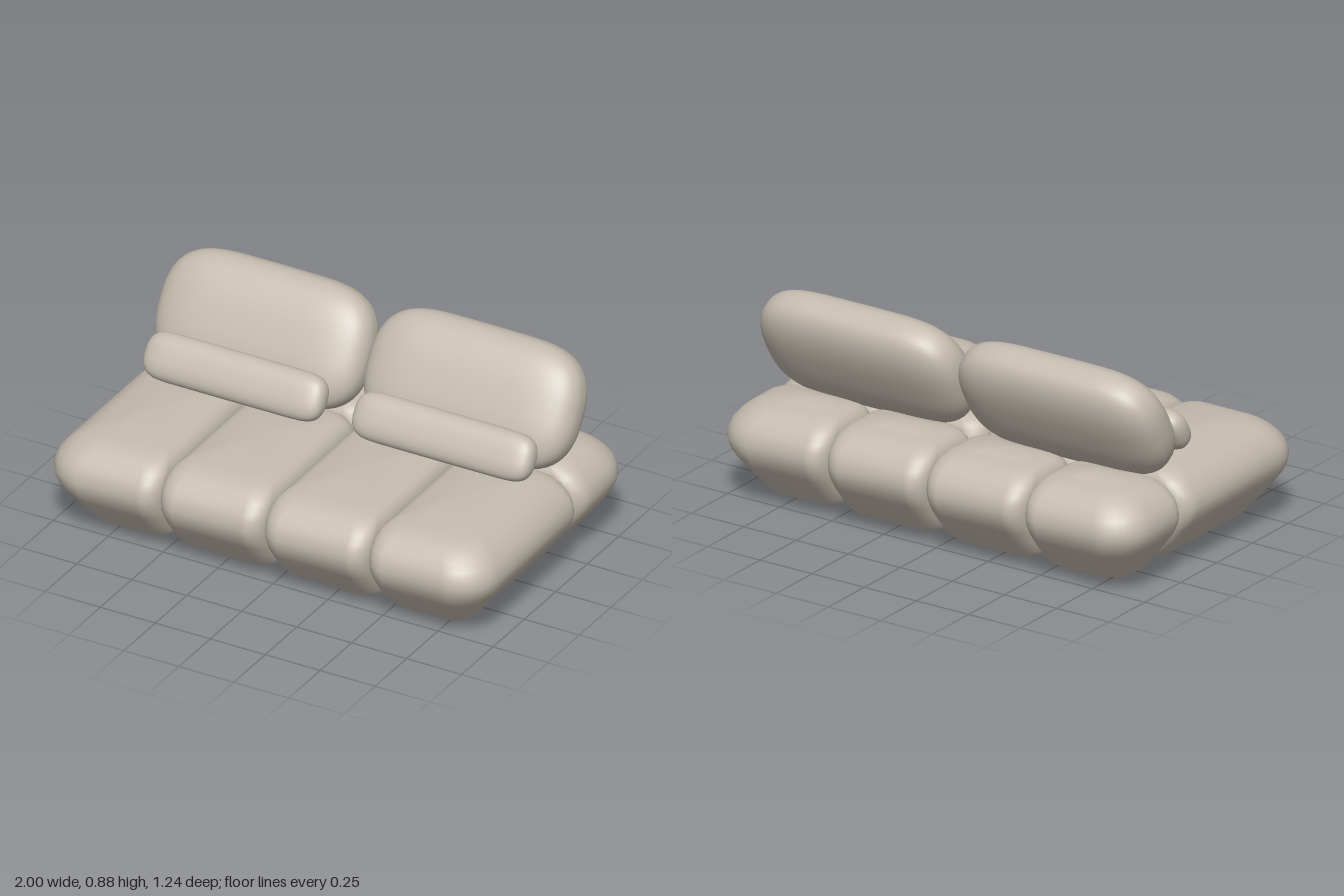
import * as THREE from 'three';

const fabric = new THREE.MeshStandardMaterial({ color: 0xc4bbae });
fabric.name = 'warm grey fabric';
const wood = new THREE.MeshStandardMaterial({ color: 0x3d352b });
wood.name = 'dark wood';

// Skin a list of closed rings (equal point counts) with smooth normals
function loft(rings) {
  const n = rings[0].length;
  const index = [];
  for (let k = 0; k < rings.length - 1; k++) {
    for (let i = 0; i < n; i++) {
      const a = k * n + i, b = k * n + (i + 1) % n;
      index.push(a, a + n, b, b, a + n, b + n);
    }
  }
  const geometry = new THREE.BufferGeometry();
  geometry.setAttribute('position', new THREE.Float32BufferAttribute(rings.flat(2), 3));
  geometry.setIndex(index);
  geometry.computeVertexNormals();
  return geometry;
}

// Side profile of a base module: height, inset of exposed sides, inset of sides at a seam
const profile = [
  [0.045, 0.15, 0.03], [0.058, 0.138, 0.012], [0.085, 0.117, 0.002], [0.13, 0.08, 0],
  [0.18, 0.042, 0], [0.21, 0.022, 0], [0.245, 0.006, 0], [0.28, 0, 0], [0.315, 0.006, 0],
  [0.345, 0.02, 0.001], [0.375, 0.045, 0.006], [0.4, 0.075, 0.018], [0.416, 0.106, 0.036],
  [0.425, 0.137, 0.057], [0.429, 0.165, 0.08],
];

// Puffy base module; sides touching the outer limits bulge and taper
function baseModule(x0, x1, z0, z1) {
  const out = { x0: x0 < -0.9, x1: x1 > 0.9, z0: z0 < -0.5, z1: z1 > 0.5 };
  const steps = 8;

  const ring = ([y, outer, inner]) => {
    const inset = (side) => (out[side] ? outer : inner);
    const l = x0 + inset('x0'), r = x1 - inset('x1');
    const b = z0 + inset('z0'), f = z1 - inset('z1');
    const corners = [
      [r, f, -1, -1, out.x1 && out.z1], [l, f, 1, -1, out.x0 && out.z1],
      [l, b, 1, 1, out.x0 && out.z0], [r, b, -1, 1, out.x1 && out.z0],
    ];
    const points = [];
    corners.forEach(([cx, cz, sx, sz, exposed], q) => {
      const radius = exposed ? Math.max(0.09, 0.17 - outer * 0.5) : 0.08;
      for (let i = 0; i <= steps; i++) {
        const a = (q + i / steps) * Math.PI / 2;
        points.push([cx + radius * (sx + Math.cos(a)), y, cz + radius * (sz + Math.sin(a))]);
      }
    });
    return points;
  };

  // Shrink a ring toward its middle
  const shrink = (points, f, y) => {
    const xs = points.map((p) => p[0]), zs = points.map((p) => p[2]);
    const cx = (Math.min(...xs) + Math.max(...xs)) / 2;
    const cz = (Math.min(...zs) + Math.max(...zs)) / 2;
    return points.map((p) => [cx + (p[0] - cx) * f, y, cz + (p[2] - cz) * f]);
  };

  const rings = profile.map(ring);
  const bottom = rings[0], top = rings[rings.length - 1];
  // Flat underside, doubled at the rim to keep that edge crisp
  rings.unshift(shrink(bottom, 0, profile[0][0]), bottom);
  // Gently crowned top
  for (const f of [0.85, 0.7, 0.55, 0.4, 0.25, 0.1, 0]) {
    rings.push(shrink(top, f, 0.429 + 0.017 * (1 - f * f)));
  }
  return loft(rings);
}

// Cushion: superellipse sections swept along x, closing at both ends
function cushion(halfWidth, halfHeight, halfDepth, endPower) {
  const power = 2.5, around = 48, along = 32;
  const curve = (v, e) => Math.sign(v) * Math.abs(v) ** e;
  const rings = [];
  for (let k = 0; k <= along; k++) {
    const t = (k / along - 0.5) * Math.PI;
    const x = halfWidth * curve(Math.sin(t), 2 / endPower);
    const s = Math.max(0, Math.cos(t)) ** (2 / power);
    rings.push(Array.from({ length: around }, (_, i) => {
      const a = i / around * Math.PI * 2;
      return [x, s * halfHeight * curve(Math.sin(a), 2 / power), s * halfDepth * curve(Math.cos(a), 2 / power)];
    }));
  }
  return loft(rings);
}

export function createModel() {
  const group = new THREE.Group();
  group.name = 'sofa';
  const add = (name, geometry, material, x = 0, y = 0, z = 0, tilt = 0) => {
    const mesh = new THREE.Mesh(geometry, material);
    mesh.name = name;
    mesh.position.set(x, y, z);
    mesh.rotation.x = -tilt;
    group.add(mesh);
  };

  // Four columns of seat and rear modules
  const seams = [-1, -0.474, 0, 0.474, 1];
  for (let i = 0; i < 4; i++) {
    add('seatModule', baseModule(seams[i], seams[i + 1], -0.206, 0.622), fabric);
    add('rearModule', baseModule(seams[i], seams[i + 1], -0.622, -0.206), fabric);
  }

  // Leaning back cushions, lumbar pillows and feet on each side
  const backGeometry = cushion(0.473, 0.262, 0.13, 5);
  const lumbarGeometry = cushion(0.406, 0.1, 0.06, 12);
  const footGeometry = new THREE.BoxGeometry(0.063, 0.05, 0.063);
  for (const side of [-1, 1]) {
    add('backCushion', backGeometry, fabric, side * 0.475, 0.634, -0.28, Math.PI / 6);
    add('lumbarPillow', lumbarGeometry, fabric, side * 0.475, 0.538, -0.036, 0.55);
    for (const z of [0.338, -0.335]) add('foot', footGeometry, wood, side * 0.722, 0.025, z);
  }
  return group;
}
